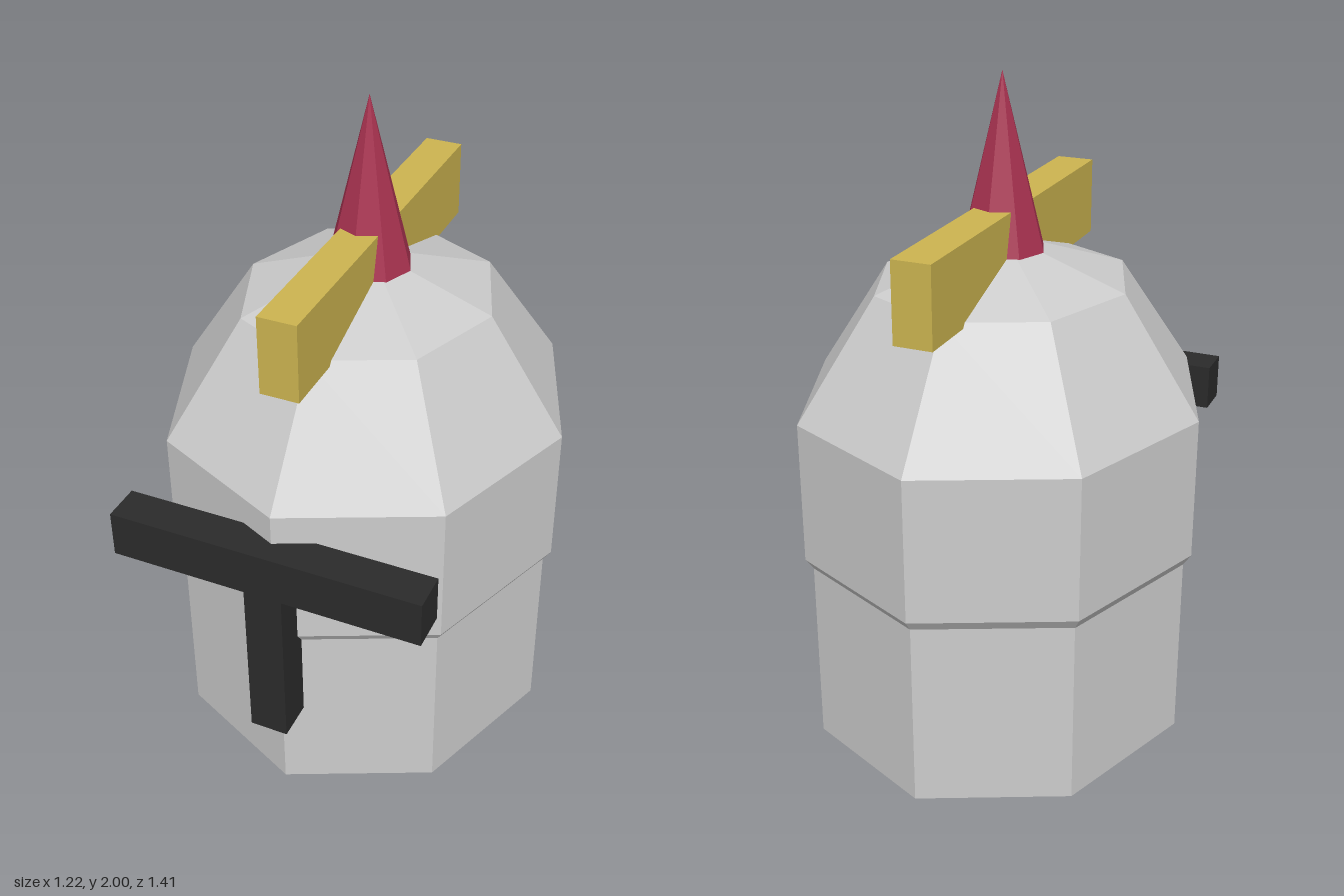
import * as THREE from 'three';

const CENTER_Z = -0.033; // axis of the helmet shell

const paint = (color) => new THREE.MeshStandardMaterial({ color, flatShading: true });

export function createModel() {
  const model = new THREE.Group();
  model.name = 'helmet';
  const steel = paint(0xcccccc);
  const gold = paint(0xccb450);
  const red = paint(0xa83250);
  const black = paint(0x2b2b2b);

  function add(name, geometry, material, x, y, z) {
    const mesh = new THREE.Mesh(geometry, material);
    mesh.name = name;
    mesh.position.set(x, y, z);
    model.add(mesh);
    return mesh;
  }

  // Box given by its width and its y and z ranges, centred on x = 0
  function addBar(name, material, width, y0, y1, z0, z1) {
    const geometry = new THREE.BoxGeometry(width, y1 - y0, z1 - z0);
    return add(name, geometry, material, 0, (y0 + y1) / 2, (z0 + z1) / 2);
  }

  // Eight-sided shell, slightly deeper than wide
  const neckHeight = 0.7;
  add('neckGuard', new THREE.CylinderGeometry(0.587, 0.587, neckHeight, 8),
    steel, 0, neckHeight / 2, CENTER_Z).scale.z = 1.103;
  add('dome', new THREE.SphereGeometry(0.642, 8, 5),
    steel, 0, 0.828, CENTER_Z).scale.set(1, 1.1, 1.1);

  // Front-to-back crest and top spike
  addBar('crest', gold, 0.115, 1.385, 1.62, -0.618, 0.555);
  add('spike', new THREE.ConeGeometry(0.128, 0.51, 8), red, 0, 1.745, CENTER_Z);

  // T-shaped visor
  addBar('eyeBar', black, 0.94, 0.815, 0.957, 0.588, 0.705);
  addBar('noseBar', black, 0.115, 0.297, 0.815, 0.588, 0.705);

  return model;
}
